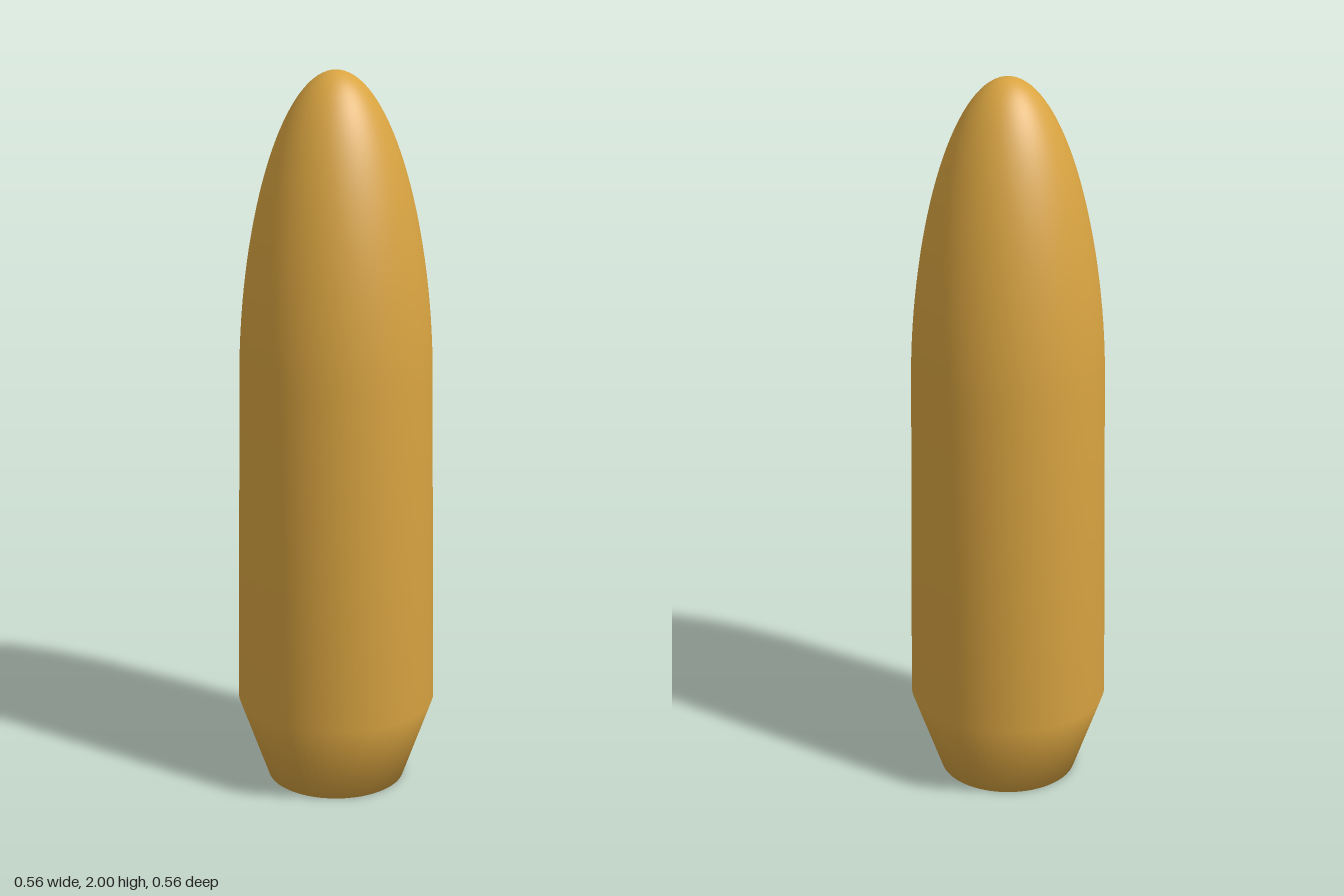
import * as THREE from 'three';

// Radii and heights of the main sections
const BASE_R = 0.195, SHOULDER_R = 0.279, SHOULDER_Y = 0.24;
const NOSE_R = 0.264, NOSE_Y = 1.18, TIP_Y = 2;
const NOSE_STEPS = 32;

export function createModel() {
  const group = new THREE.Group();
  group.name = 'projectile';

  // Closed flat base, tapered tail and slightly narrowing body
  const profile = [
    new THREE.Vector2(0, 0),
    new THREE.Vector2(BASE_R, 0),
    new THREE.Vector2(SHOULDER_R, SHOULDER_Y),
    new THREE.Vector2(NOSE_R, NOSE_Y),
  ];

  // Rounded nose, with steps bunched towards the tip
  for (let i = 1; i <= NOSE_STEPS; i++) {
    const s = Math.sin((i / NOSE_STEPS) * Math.PI / 2);
    const r = i === NOSE_STEPS ? 0 : NOSE_R * Math.sqrt(1 - Math.pow(s, 1.8));
    profile.push(new THREE.Vector2(r, NOSE_Y + (TIP_Y - NOSE_Y) * s));
  }

  const body = new THREE.Mesh(
    new THREE.LatheGeometry(profile, 64),
    new THREE.MeshStandardMaterial({ color: 0xd9a441 })
  );
  body.name = 'body';
  group.add(body);
  return group;
}
